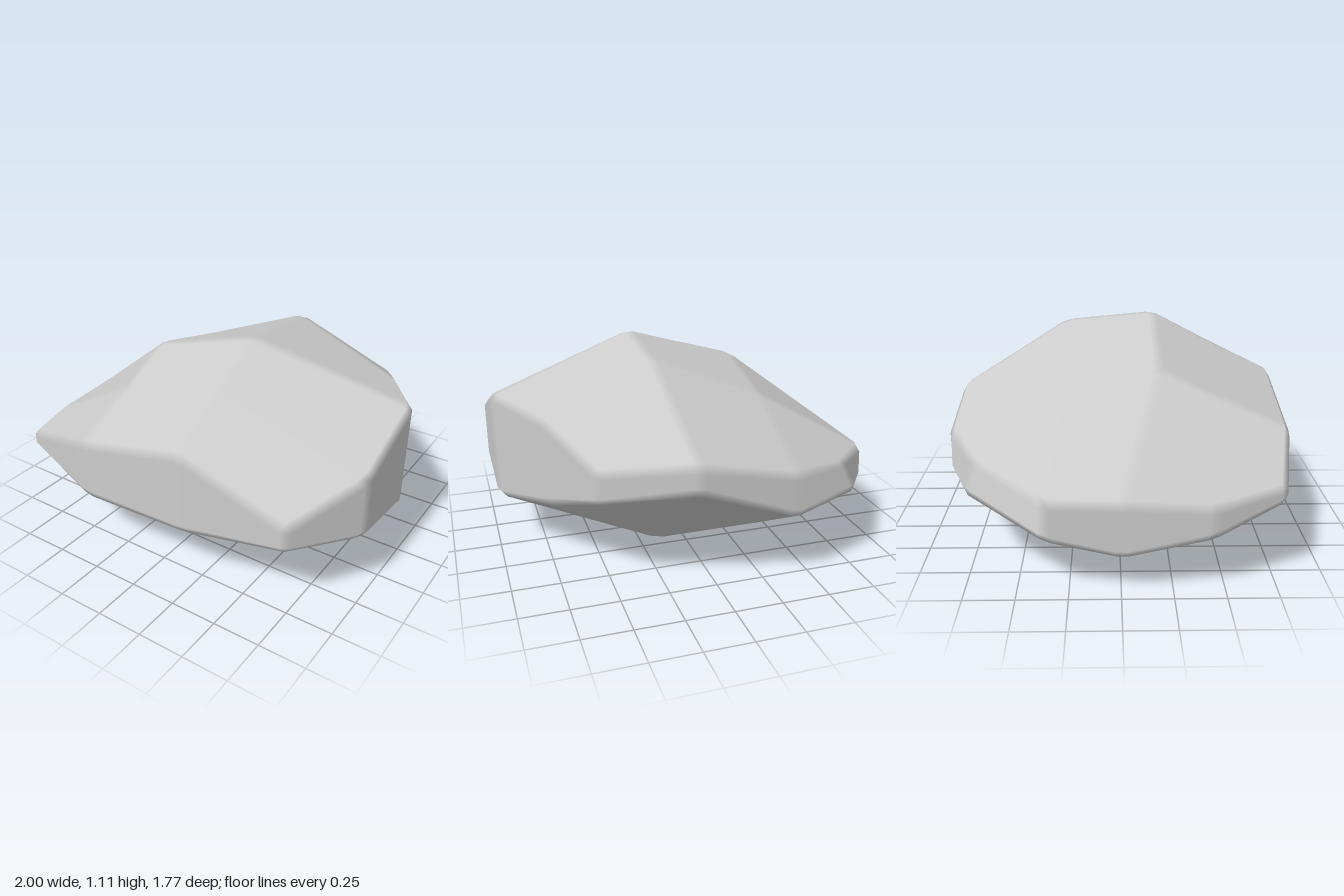
import * as THREE from 'three';

// Control cage, rows from back to front, columns from -x to +x: [x, y, z]
const TOP = [
  [[-0.68, 0.59, -0.71], [-0.36, 0.62, -0.885], [0.14, 0.72, -0.885], [0.59, 0.67, -0.70]],
  [[-1.00, 0.50, -0.36], [-0.40, 0.84, -0.28], [0.20, 1.09, -0.29], [0.78, 0.82, -0.33]],
  [[-1.00, 0.49, 0.00], [-0.40, 0.96, 0.20], [0.20, 1.13, 0.20], [1.00, 0.88, 0.00]],
  [[-1.00, 0.47, 0.43], [-0.40, 0.81, 0.50], [0.20, 0.97, 0.50], [1.00, 0.71, 0.46]],
  [[-0.87, 0.52, 0.78], [-0.40, 0.64, 0.88], [0.22, 0.78, 0.88], [0.77, 0.55, 0.82]],
];
const BOTTOM = [
  [[-0.75, 0.44, -0.76], [-0.36, 0.40, -0.885], [0.14, 0.59, -0.885], [0.59, 0.51, -0.70]],
  [[-1.00, 0.31, -0.36], [-0.40, 0.10, -0.34], [0.20, 0.09, -0.34], [0.78, 0.38, -0.33]],
  [[-1.00, 0.22, 0.00], [-0.40, 0.07, 0.10], [0.20, 0.00, 0.24], [0.99, 0.31, 0.00]],
  [[-1.00, 0.32, 0.43], [-0.40, 0.04, 0.44], [0.20, 0.17, 0.50], [1.00, 0.38, 0.46]],
  [[-0.87, 0.44, 0.78], [-0.40, 0.34, 0.885], [0.22, 0.36, 0.885], [0.77, 0.42, 0.82]],
];
const ROWS = 5, COLS = 4, N = ROWS * COLS;

// Quads of the closed cage: top, underside and the band round the rim
function cageFaces() {
  const faces = [];
  const id = (j, i) => j * COLS + i;
  for (let j = 0; j < ROWS - 1; j++) {
    for (let i = 0; i < COLS - 1; i++) {
      const [a, b, c, d] = [id(j, i), id(j + 1, i), id(j + 1, i + 1), id(j, i + 1)];
      faces.push([a, b, c, d], [a + N, d + N, c + N, b + N]);
    }
  }
  const rim = [];
  for (let j = 0; j < ROWS - 1; j++) rim.push(id(j, 0));
  for (let i = 0; i < COLS - 1; i++) rim.push(id(ROWS - 1, i));
  for (let j = ROWS - 1; j > 0; j--) rim.push(id(j, COLS - 1));
  for (let i = COLS - 1; i > 0; i--) rim.push(id(0, i));
  rim.forEach((a, n) => {
    const b = rim[(n + 1) % rim.length];
    faces.push([a + N, b + N, b, a]);
  });
  return faces;
}

// Bevel every edge: inset each face, then bridge the edges and cap the corners
function bevelledGeometry(points, faces, width) {
  const positions = [], normals = [], index = [];
  const halfEdges = new Map(); // "a_b" -> inset corners and the vertex before a
  const fan = (ids) => {
    for (let k = 1; k < ids.length - 1; k++) index.push(ids[0], ids[k], ids[k + 1]);
  };

  faces.forEach((face, f) => {
    const p = face.map((k) => points[k]);
    const normal = p[2].clone().sub(p[0]).cross(p[3].clone().sub(p[1])).normalize();
    face.forEach((a, k) => {
      const next = (k + 1) % 4, prev = (k + 3) % 4;
      const e1 = p[next].clone().sub(p[k]).normalize();
      const e2 = p[prev].clone().sub(p[k]).normalize();
      const sin = Math.max(0.5, e1.clone().cross(e2).length());
      const corner = p[k].clone().addScaledVector(e1.add(e2), width / sin);
      positions.push(...corner.toArray());
      normals.push(...normal.toArray());
      halfEdges.set(`${a}_${face[next]}`, { a: f * 4 + k, b: f * 4 + next, after: face[(k + 2) % 4] });
    });
    fan([0, 1, 2, 3].map((k) => f * 4 + k));
  });

  // Edge strips
  const firstEdge = new Map();
  for (const [key, e] of halfEdges) {
    const [a, b] = key.split('_').map(Number);
    firstEdge.set(a, b);
    const twin = halfEdges.get(`${b}_${a}`);
    if (a < b) fan([e.a, twin.b, twin.a, e.b]);
  }

  // Corner caps, walking round each cage vertex
  for (const [a, start] of firstEdge) {
    const ring = [];
    let b = start;
    do {
      const twin = halfEdges.get(`${b}_${a}`);
      ring.push(twin.b);
      b = twin.after;
    } while (b !== start);
    fan(ring.reverse());
  }

  const geometry = new THREE.BufferGeometry();
  geometry.setAttribute('position', new THREE.Float32BufferAttribute(positions, 3));
  geometry.setAttribute('normal', new THREE.Float32BufferAttribute(normals, 3));
  geometry.setIndex(index);
  return geometry;
}

export function createModel() {
  const group = new THREE.Group();
  group.name = 'rock';
  const points = [...TOP.flat(), ...BOTTOM.flat()].map((c) => new THREE.Vector3(...c));
  const geometry = bevelledGeometry(points, cageFaces(), 0.03);

  // Stand the stone on the ground
  geometry.computeBoundingBox();
  geometry.translate(0, -geometry.boundingBox.min.y, 0);

  const stone = new THREE.Mesh(geometry, new THREE.MeshStandardMaterial({ color: 0xcccccc }));
  stone.name = 'boulder';
  group.add(stone);
  return group;
}
